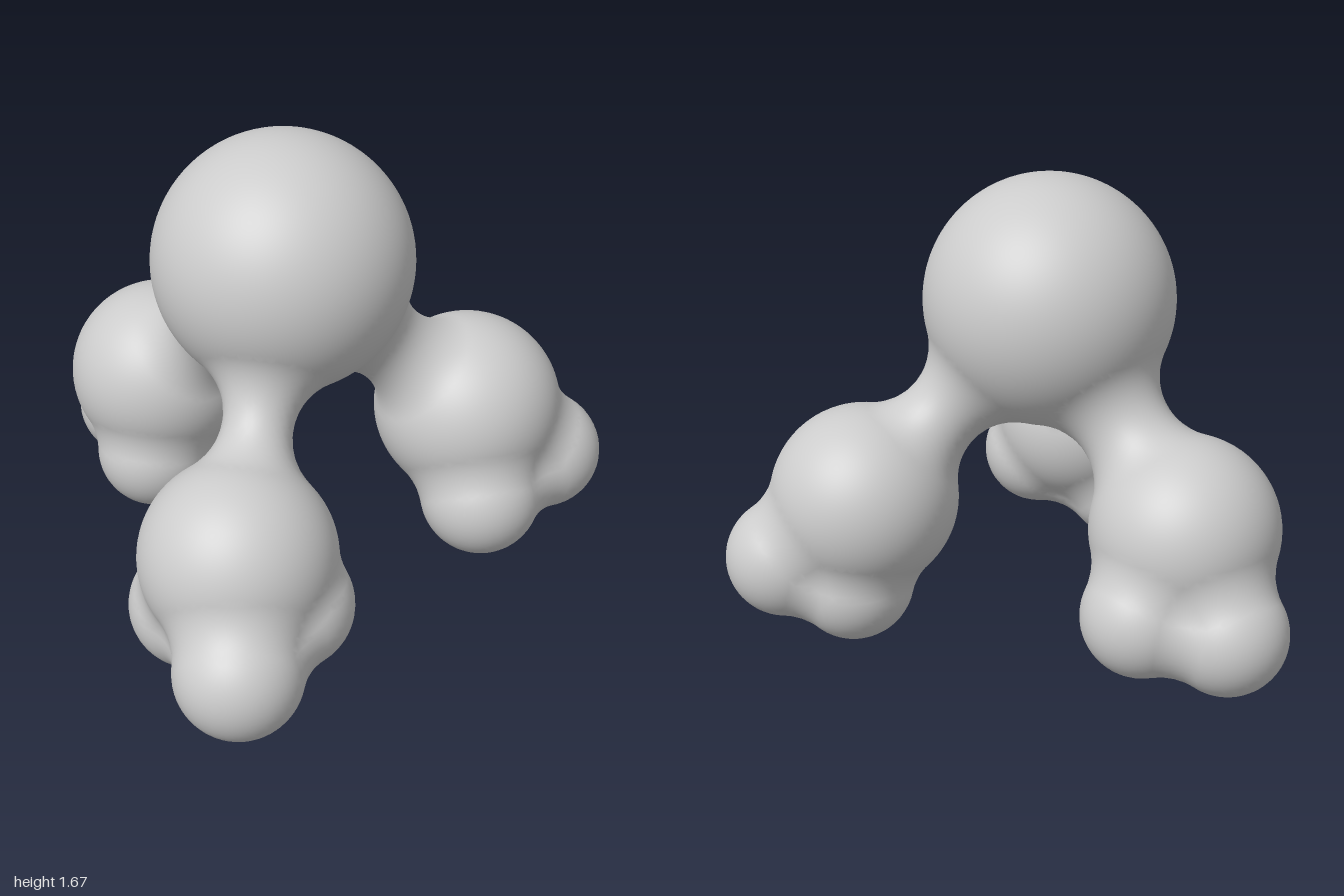
import * as THREE from 'three';

// Ball clusters: [x, y, z, radius]. A head plus three feet, each a knob with three toes.
const PARTS = {
  head: [[0.13, 1.225, 0.06, 0.445]],
  rightFoot: [[-0.49, 0.53, 0.11, 0.335], [-0.74, 0.24, 0.06, 0.215], [-0.42, 0.25, 0.21, 0.215], [-0.5, 0.28, -0.11, 0.215]],
  frontLeftFoot: [[0.52, 0.485, 0.6, 0.33], [0.735, 0.24, 0.785, 0.215], [0.35, 0.217, 0.66, 0.215], [0.66, 0.32, 0.5, 0.215]],
  backLeftFoot: [[0.45, 0.55, -0.55, 0.335], [0.62, 0.33, -0.785, 0.215], [0.62, 0.28, -0.46, 0.215], [0.43, 0.25, -0.63, 0.215]],
};
const FILLET = 0.21; // radius of the hollow blends between balls
const STEP = 0.027; // grid size

const balls = [];
for (const [part, list] of Object.entries(PARTS)) {
  for (const [x, y, z, r] of list) balls.push({ part, c: new THREE.Vector3(x, y, z), r, R: r + FILLET });
}

// A rolling ball's centre stays on the outside of the enlarged balls.
const isFree = (q) => balls.every((b) => q.distanceToSquared(b.c) > (b.R - 1e-5) ** 2);

// Circles where two enlarged balls meet, and points where three meet
const circles = [];
const corners = [];
balls.forEach((a, i) => balls.forEach((b, j) => {
  if (j <= i) return;
  const n = b.c.clone().sub(a.c);
  const d = n.length();
  if (d >= a.R + b.R) return;
  n.divideScalar(d);
  const t = (a.R ** 2 - b.R ** 2 + d * d) / (2 * d);
  const c = a.c.clone().addScaledVector(n, t);
  const rad = Math.sqrt(Math.max(a.R ** 2 - t * t, 0));
  circles.push({ c, n, rad });
  for (let k = j + 1; k < balls.length; k++) {
    const e = balls[k];
    const w = e.c.clone().sub(c);
    const h = w.dot(n);
    const u = w.clone().addScaledVector(n, -h);
    const len = u.length();
    if (len < 1e-6) continue;
    u.divideScalar(len);
    const cos = (len * len + h * h + rad * rad - e.R ** 2) / (2 * len * rad);
    if (Math.abs(cos) > 1) continue;
    const v = n.clone().cross(u);
    for (const s of [1, -1]) {
      const q = c.clone().addScaledVector(u, rad * cos).addScaledVector(v, s * rad * Math.sqrt(1 - cos * cos));
      if (isFree(q)) corners.push(q);
    }
  }
}));

// Signed field of the rolled skin: negative inside
const q = new THREE.Vector3();
function field(p) {
  let near = Infinity;
  for (const b of balls) near = Math.min(near, p.distanceTo(b.c) - b.r);
  if (near >= FILLET) return near;
  if (near < -0.1) return near;
  let best = Infinity;
  const tryPoint = () => {
    const d = q.distanceTo(p);
    if (d < best && isFree(q)) best = d;
  };
  for (const b of balls) {
    q.copy(p).sub(b.c).setLength(b.R).add(b.c);
    tryPoint();
  }
  for (const { c, n, rad } of circles) {
    q.copy(p).sub(c);
    q.addScaledVector(n, -q.dot(n)).setLength(rad).add(c);
    tryPoint();
  }
  for (const k of corners) best = Math.min(best, k.distanceTo(p));
  return FILLET - best;
}

function gradient(p) {
  const e = 0.004;
  const g = new THREE.Vector3();
  for (const a of ['x', 'y', 'z']) {
    const s = p.clone();
    s[a] += e;
    const hi = field(s);
    s[a] -= 2 * e;
    g[a] = hi - field(s);
  }
  return g.normalize();
}

// Skin the field with one vertex per crossed grid cell
function buildSkin() {
  const min = [-1.03, -0.07, -1.08];
  const size = [2.06, 1.82, 2.16].map((s) => Math.ceil(s / STEP) + 1);
  const stride = [1, size[0], size[0] * size[1]];
  const values = new Float32Array(size[0] * size[1] * size[2]);
  const at = (i, j, k) => new THREE.Vector3(min[0] + i * STEP, min[1] + j * STEP, min[2] + k * STEP);
  const eachCell = (fn, margin) => {
    for (let k = margin; k < size[2] - margin; k++)
      for (let j = margin; j < size[1] - margin; j++)
        for (let i = margin; i < size[0] - margin; i++) fn(i, j, k, i + j * stride[1] + k * stride[2]);
  };
  eachCell((i, j, k, id) => { values[id] = field(at(i, j, k)); }, 0);

  const cellVertex = new Map();
  const positions = [], normals = [];
  eachCell((i, j, k, id) => {
    const sum = new THREE.Vector3();
    let count = 0;
    for (let m = 0; m < 8; m++) for (let a = 0; a < 3; a++) {
      if (m & (1 << a)) continue;
      const o = [m & 1, (m >> 1) & 1, m >> 2];
      const id0 = id + o[0] + o[1] * stride[1] + o[2] * stride[2];
      const f0 = values[id0], f1 = values[id0 + stride[a]];
      if ((f0 < 0) === (f1 < 0)) continue;
      o[a] += f0 / (f0 - f1);
      sum.add(at(i + o[0], j + o[1], k + o[2]));
      count++;
    }
    if (!count) return;
    const p = sum.divideScalar(count);
    let g = gradient(p);
    p.addScaledVector(g, -THREE.MathUtils.clamp(field(p), -STEP / 2, STEP / 2));
    g = gradient(p);
    cellVertex.set(id, positions.length / 3);
    positions.push(p.x, p.y, p.z);
    normals.push(g.x, g.y, g.z);
  }, 1);

  // Quads around each crossed grid edge, sorted to the nearest ball's part
  const faces = Object.fromEntries(Object.keys(PARTS).map((n) => [n, []]));
  eachCell((i, j, k, id) => {
    for (let a = 0; a < 3; a++) {
      const f0 = values[id], f1 = values[id + stride[a]];
      if ((f0 < 0) === (f1 < 0)) continue;
      const b = stride[(a + 1) % 3], c = stride[(a + 2) % 3];
      const v = [id - b - c, id - c, id, id - b].map((n) => cellVertex.get(n));
      if (f0 >= 0) v.reverse();
      const p = at(i, j, k);
      const gap = (s) => p.distanceTo(s.c) - s.r;
      const owner = balls.reduce((m, s) => (gap(s) < gap(m) ? s : m));
      faces[owner.part].push(v[0], v[1], v[2], v[0], v[2], v[3]);
    }
  }, 2);
  return { positions, normals, faces };
}

export function createModel() {
  const group = new THREE.Group();
  group.name = 'blendedBallTripod';
  const material = new THREE.MeshStandardMaterial({ color: 0xcccccc });
  const { positions, normals, faces } = buildSkin();
  for (const [name, index] of Object.entries(faces)) {
    const geometry = new THREE.BufferGeometry();
    geometry.setAttribute('position', new THREE.Float32BufferAttribute(positions, 3));
    geometry.setAttribute('normal', new THREE.Float32BufferAttribute(normals, 3));
    geometry.setIndex(index);
    const mesh = new THREE.Mesh(geometry.toNonIndexed(), material);
    mesh.name = name;
    group.add(mesh);
  }
  return group;
}
